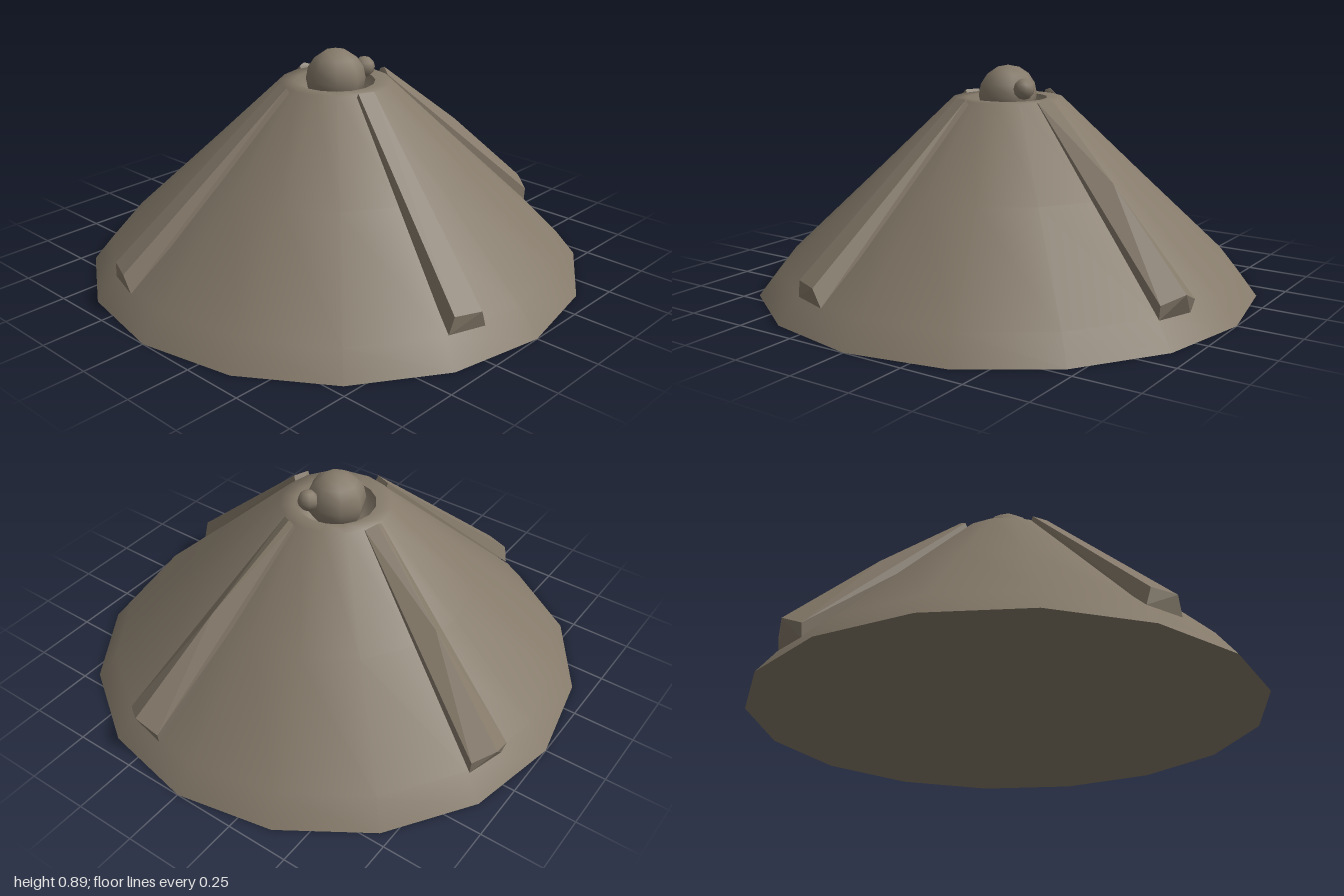
import * as THREE from 'three';
import { ConvexGeometry } from 'three/addons/geometries/ConvexGeometry.js';

export function createModel() {
  const model = new THREE.Group();
  const stone = new THREE.MeshStandardMaterial({ color: 0x857a6a });
  stone.name = 'weathered stone';

  const add = (name, geometry, x = 0, y = 0, z = 0) => {
    const mesh = new THREE.Mesh(geometry, stone);
    mesh.name = name;
    mesh.position.set(x, y, z);
    model.add(mesh);
    return mesh;
  };
  const lathe = (profile) =>
    new THREE.LatheGeometry(profile.map(([r, y]) => new THREE.Vector2(r, y)), 16);

  // Sixteen-sided cone body with a rounded lip
  add('coneShell', lathe([[1, 0], [0.92, 0.1], [0.56, 0.44], [0.22, 0.765], [0.157, 0.765]]));

  // Open pit at the top, narrowing to its floor
  add('pit', lathe([[0.157, 0.765], [0.125, 0.65], [0, 0.65]]));

  // Closed underside
  const base = new THREE.CircleGeometry(1, 16);
  base.rotateX(Math.PI / 2);
  add('underside', base);

  // Body in the pit with a small knob on its side
  add('centralBody', new THREE.SphereGeometry(0.118, 8, 8), 0, 0.775, 0);
  add('sideKnob', new THREE.SphereGeometry(0.042, 8, 6), 0.11, 0.808, 0.052);

  // Rib corners: sideways offset, height, distance from the axis
  const ridgedRib = [
    [-0.088, 0.09, 0.92], [-0.087, 0.145, 0.925], [0.008, 0.174, 0.958],
    [0.097, 0.132, 0.92], [0.085, 0.08, 0.91],
    [0.01, 0.505, 0.59],
    [-0.034, 0.72, 0.205], [-0.034, 0.765, 0.22], [0.015, 0.782, 0.235],
    [0.037, 0.772, 0.23], [0.037, 0.72, 0.205],
  ];
  const flatRib = [
    [-0.079, 0.1, 0.92], [-0.06, 0.168, 0.925], [0.05, 0.165, 0.935], [0.078, 0.095, 0.92],
    [-0.038, 0.72, 0.205], [-0.034, 0.775, 0.23], [0.032, 0.775, 0.235], [0.038, 0.72, 0.205],
  ];
  const ribs = [
    ['frontRib', flatRib], ['leftRib', ridgedRib], ['backRib', ridgedRib], ['rightRib', flatRib],
  ];

  // Four tapering ribs, a quarter turn apart
  ribs.forEach(([name, corners], i) => {
    const rib = add(name, new ConvexGeometry(corners.map((c) => new THREE.Vector3(...c))));
    rib.rotation.y = -0.291 + (i * Math.PI) / 2;
  });

  return model;
}
